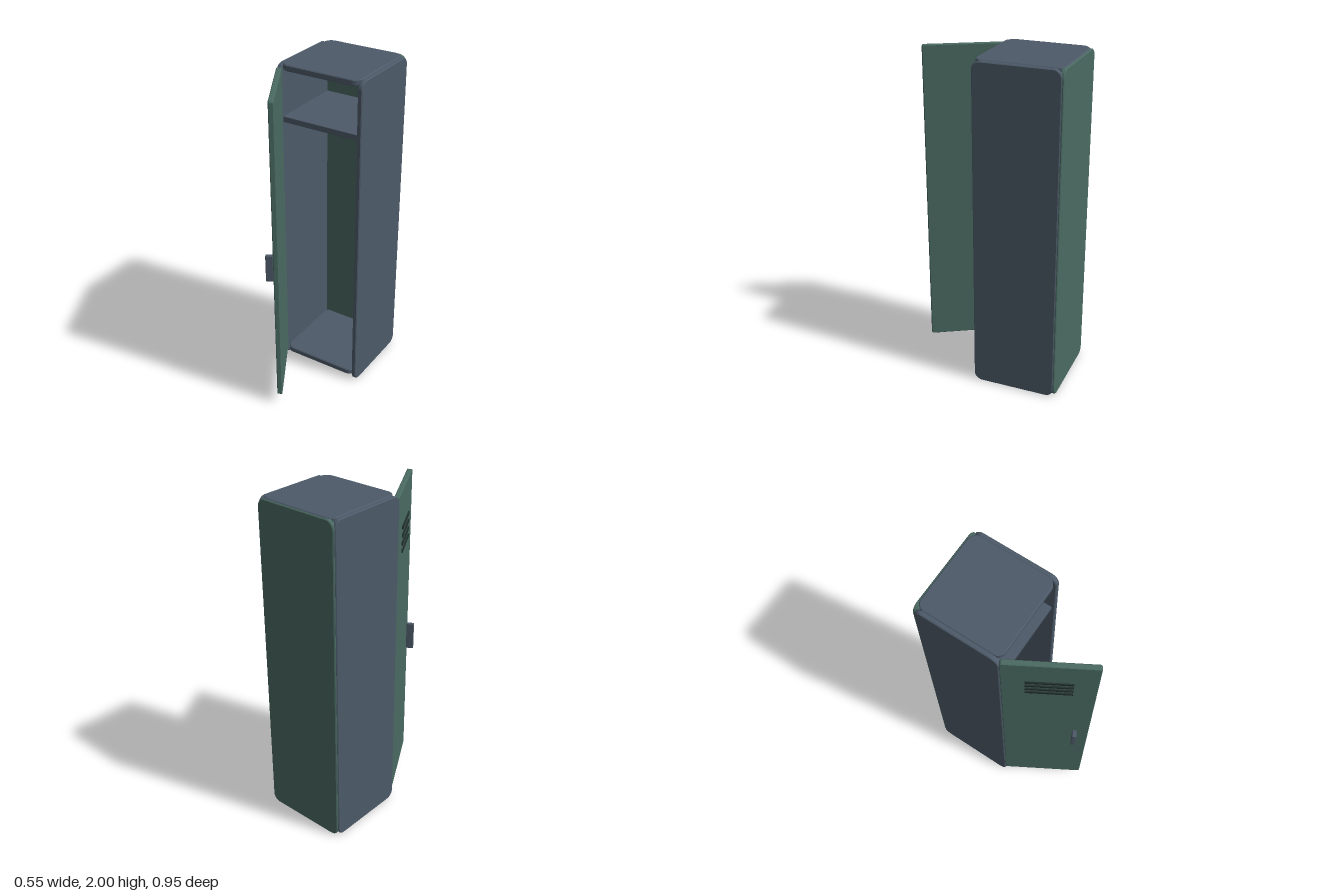
import * as THREE from 'three';
import { RoundedBoxGeometry } from 'three/addons/geometries/RoundedBoxGeometry.js';

const slate = new THREE.MeshStandardMaterial({ color: 0x4d5a69 });
slate.name = 'slate steel';
const green = new THREE.MeshStandardMaterial({ color: 0x4a6a62 });
green.name = 'green steel';
const dark = new THREE.MeshStandardMaterial({ color: 0x22302d });
dark.name = 'dark slot';

// Sheet w by h with rounded corners and softened edges, centred, facing +z
function plate(w, h, t, r, bevel = 0.005) {
  const x = w / 2 - bevel, y = h / 2 - bevel;
  const s = new THREE.Shape();
  s.moveTo(-x + r, -y);
  s.lineTo(x - r, -y);
  s.absarc(x - r, -y + r, r, -Math.PI / 2, 0);
  s.lineTo(x, y - r);
  s.absarc(x - r, y - r, r, 0, Math.PI / 2);
  s.lineTo(-x + r, y);
  s.absarc(-x + r, y - r, r, Math.PI / 2, Math.PI);
  s.lineTo(-x, -y + r);
  s.absarc(-x + r, -y + r, r, Math.PI, Math.PI * 1.5);
  const g = new THREE.ExtrudeGeometry(s, {
    depth: t - 2 * bevel, bevelEnabled: true, bevelSize: bevel,
    bevelThickness: bevel, bevelSegments: 1, curveSegments: 5,
  });
  return g.translate(0, 0, -t / 2 + bevel);
}

function add(parent, name, geometry, material, x, y, z) {
  const mesh = new THREE.Mesh(geometry, material);
  mesh.name = name;
  mesh.position.set(x, y, z);
  parent.add(mesh);
  return mesh;
}

export function createModel() {
  const locker = new THREE.Group();
  locker.name = 'locker';

  // Cabinet shell
  for (const s of [-1, 1]) {
    const side = plate(0.505, 1.995, 0.028, 0.045).rotateY(Math.PI / 2);
    add(locker, s > 0 ? 'leftSide' : 'rightSide', side, slate, s * 0.26, 0.9985, -0.2125);
  }
  add(locker, 'backPanel', plate(0.536, 1.995, 0.026, 0.045), green, 0, 0.9975, -0.462);
  const level = () => plate(0.5, 0.505, 0.036, 0.045).rotateX(-Math.PI / 2);
  add(locker, 'topPanel', level(), slate, 0, 1.982, -0.2135);
  add(locker, 'floorPanel', level(), slate, 0, 0.047, -0.2135);

  // Shelf and coat hooks
  add(locker, 'shelf', new RoundedBoxGeometry(0.5, 0.036, 0.475, 1, 0.004), slate, 0, 1.667, -0.2175);
  for (const s of [-1, 1]) {
    add(locker, 'coatHook', new RoundedBoxGeometry(0.02, 0.05, 0.05, 1, 0.004), slate, s * 0.14, 1.545, -0.426);
  }

  // Open door, pivoting at the hinge edge with its outer face at local z = 0
  const door = new THREE.Group();
  door.name = 'door';
  door.position.set(-0.27, 0, 0.042);
  door.rotation.y = -Math.PI / 3;
  locker.add(door);
  add(door, 'doorPanel', plate(0.5, 1.91, 0.03, 0.01, 0.004), green, 0.25, 1.025, -0.015);
  for (let i = 0; i < 4; i++) {
    add(door, 'ventSlot', new THREE.BoxGeometry(0.25, 0.018, 0.008), dark, 0.25, 1.621 + i * 0.0465, 0.003);
  }
  add(door, 'handle', new RoundedBoxGeometry(0.025, 0.17, 0.044, 1, 0.004), slate, 0.4175, 0.936, 0.029);

  return locker;
}
